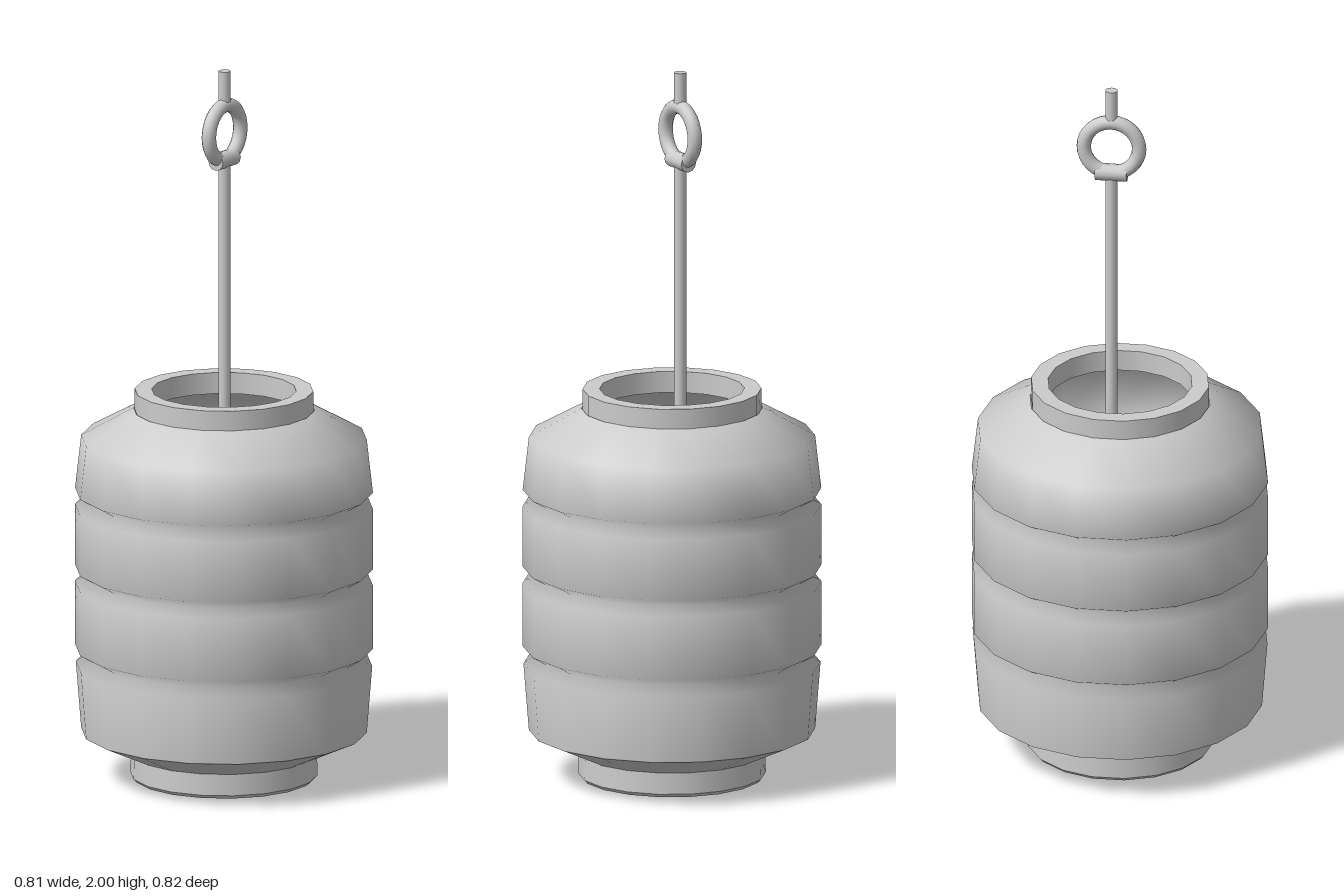
import * as THREE from 'three';

const SIDES = 18;
const material = new THREE.MeshStandardMaterial({ color: 0xcccccc });
const thin = new THREE.MeshStandardMaterial({ color: 0xcccccc, side: THREE.DoubleSide });

function add(parent, name, geometry, mat = material) {
  const mesh = new THREE.Mesh(geometry, mat);
  mesh.name = name;
  parent.add(mesh);
  return mesh;
}

const lathe = (points) =>
  new THREE.LatheGeometry(points.map(([r, y]) => new THREE.Vector2(r, y)), SIDES);

// One lathe strip per pair of profile points, so the corners stay sharp
function sharpLathe(parent, name, points) {
  const part = new THREE.Group();
  part.name = name;
  for (let i = 0; i < points.length - 1; i++) {
    add(part, name + 'Face', lathe([points[i], points[i + 1]]), thin);
  }
  parent.add(part);
}

export function createModel() {
  const model = new THREE.Group();
  model.name = 'hangingLantern';

  // Ribbed paper shade: smooth bands separated by narrow grooves
  const shade = [[0.395, 0.133], [0.41, 0.322]];
  for (const y of [0.347, 0.573, 0.791]) {
    if (y > 0.4) shade.push([0.412, y - 0.022]);
    shade.push([0.372, y], [0.412, y + 0.024]);
  }
  shade.push([0.395, 0.965], [0.25, 1.045]);
  add(model, 'shade', lathe(shade), thin);
  add(model, 'shadeBottom', lathe([[0.257, 0.07], [0.395, 0.133]]), thin);

  // Open rims at the top and bottom
  sharpLathe(model, 'topRim',
    [[0.2, 1.04], [0.247, 1.04], [0.247, 1.1], [0.2, 1.1], [0.2, 1.04]]);
  sharpLathe(model, 'bottomRim',
    [[0.235, 0], [0.25, 0], [0.259, 0.01], [0.257, 0.075], [0.235, 0.075], [0.235, 0]]);

  // Hanger: lower cord, ring, binding around the ring and upper cord
  const hanger = new THREE.Group();
  hanger.name = 'hanger';
  hanger.position.set(-0.013, 0, -0.022);
  model.add(hanger);

  const cord = (name, y0, y1) =>
    add(hanger, name, new THREE.CylinderGeometry(0.017, 0.017, y1 - y0, 12))
      .position.set(0, (y0 + y1) / 2, 0);
  cord('lowerCord', 0.75, 1.745);
  cord('upperCord', 1.9, 2);

  const ring = add(hanger, 'ring', new THREE.TorusGeometry(0.077, 0.02, 12, 32));
  ring.rotation.y = Math.PI / 2;
  ring.position.y = 1.825;

  const binding = add(hanger, 'binding', new THREE.CylinderGeometry(0.024, 0.024, 0.088, 12));
  binding.rotation.x = Math.PI / 2;
  binding.position.y = 1.749;

  return model;
}
